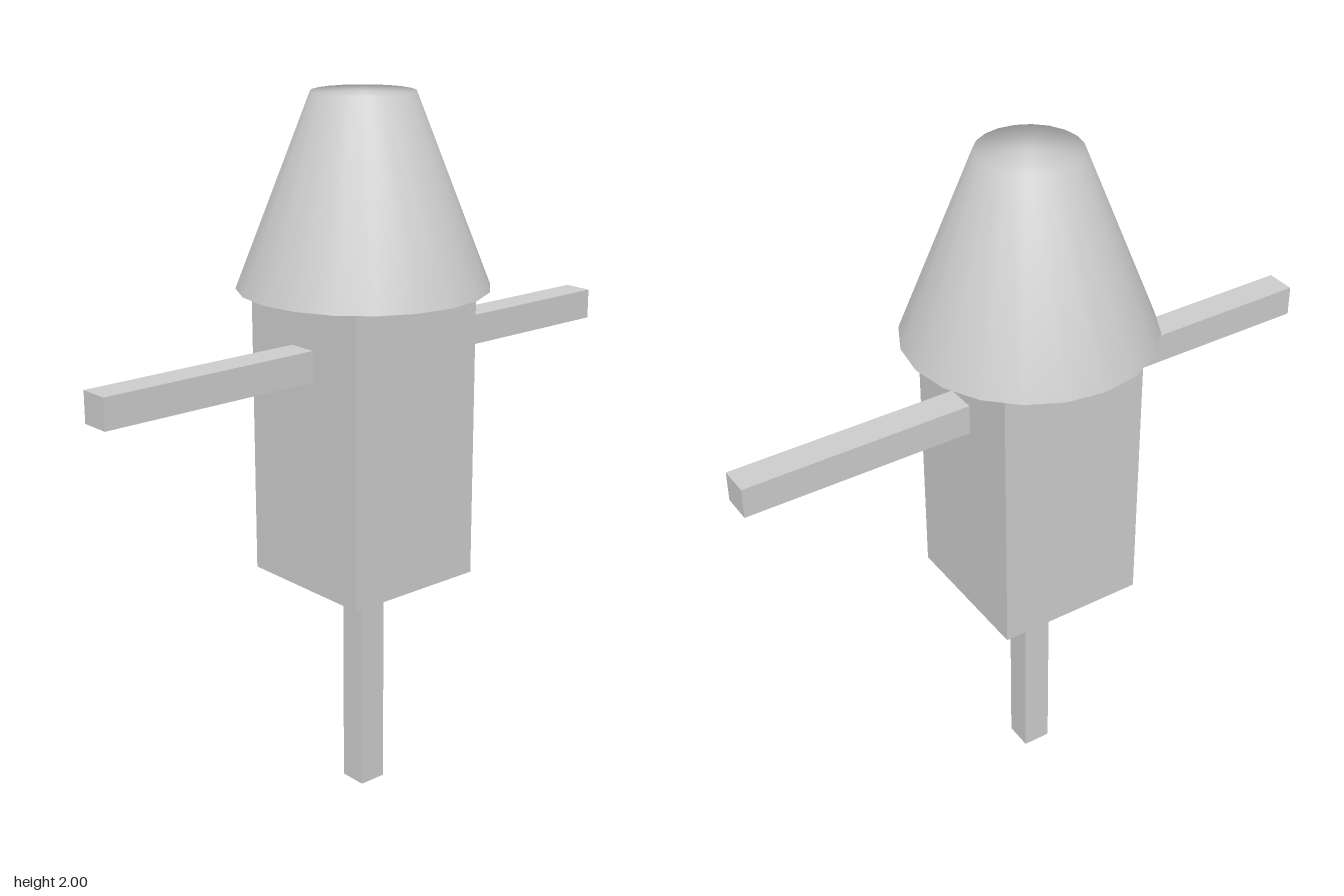
import * as THREE from 'three';

export function createModel() {
  const model = new THREE.Group();
  const material = new THREE.MeshStandardMaterial({ color: 0xcccccc });

  const add = (name, geometry, y) => {
    const mesh = new THREE.Mesh(geometry, material);
    mesh.name = name;
    mesh.position.y = y;
    model.add(mesh);
    return mesh;
  };

  // post, body and the crossbar that forms both arms
  add('post', new THREE.BoxGeometry(0.082, 0.656, 0.082), 0.328);
  add('body', new THREE.BoxGeometry(0.43, 0.824, 0.43), 1.068);
  add('arms', new THREE.BoxGeometry(0.086, 0.086, 1.735), 1.302);

  // hat: 20-sided cone with a flat top, shaded softly over the upper rim
  const sides = 20, bottomRadius = 0.345, hatBase = 1.48;
  const profile = [[bottomRadius, 0], [0.14, 0.52], [0, 0.52]].map(([r, y]) => new THREE.Vector2(r, y));
  add('hat', new THREE.LatheGeometry(profile, sides), hatBase);

  // flat underside of the hat
  const underside = new THREE.CircleGeometry(bottomRadius, sides).rotateX(Math.PI / 2);
  add('hatUnderside', underside, hatBase);

  return model;
}
